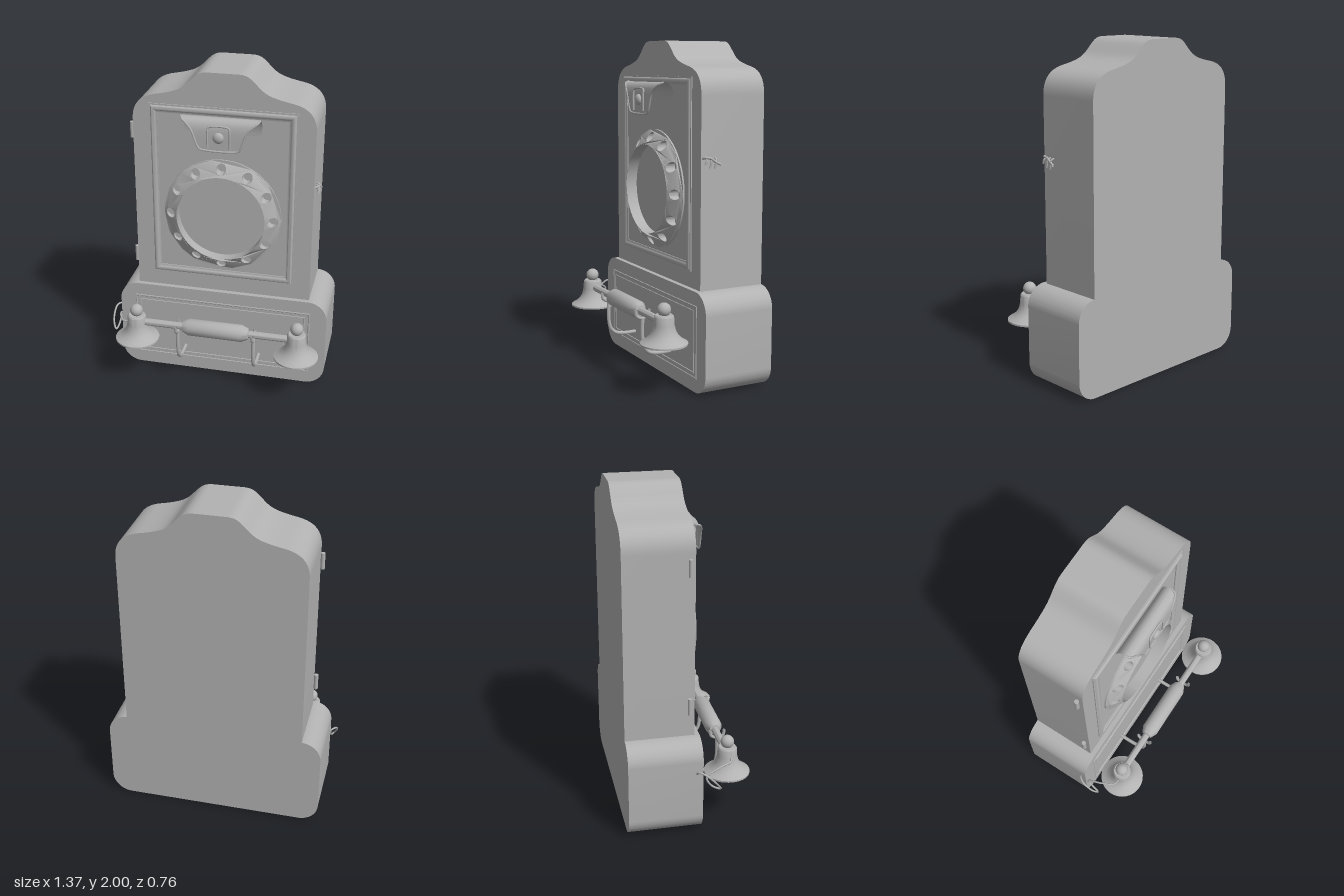
import * as THREE from 'three';
import { toCreasedNormals } from 'three/addons/utils/BufferGeometryUtils.js';

const grey = new THREE.MeshStandardMaterial({ color: 0xb2b2b2, side: THREE.DoubleSide });
grey.name = 'grey';
const CX = 0.015; // centre line of the cabinet
const V = (x, y, z) => new THREE.Vector3(x, y, z);

export function createModel() {
  const root = new THREE.Group();
  root.name = 'wallTelephone';

  const add = (name, geo, x = 0, y = 0, z = 0) => {
    const mesh = new THREE.Mesh(geo, grey);
    mesh.name = name;
    mesh.position.set(x, y, z);
    root.add(mesh);
    return mesh;
  };
  const extrude = (shape, depth) => toCreasedNormals(
    new THREE.ExtrudeGeometry(shape, { depth, bevelEnabled: false, curveSegments: 16 }), 0.6);
  const lathe = (pts, segs = 40) => toCreasedNormals(
    new THREE.LatheGeometry(pts.map(p => new THREE.Vector2(...p)), segs), 0.6);
  const tube = (name, pts, r, closed = false, segs = 48) => add(name, new THREE.TubeGeometry(
    new THREE.CatmullRomCurve3(pts, closed, 'centripetal'), segs, r, 8, closed));

  // Rectangular moulding with mitred corners; profile holds [inset, height]
  const moulding = (name, x0, x1, y0, y1, z, profile) => {
    const pos = [];
    const corner = (i, [d, h]) => [
      [x0 + d, y0 + d, h], [x1 - d, y0 + d, h], [x1 - d, y1 - d, h], [x0 + d, y1 - d, h]][i % 4];
    for (let i = 0; i < 4; i++) for (let k = 0; k < profile.length - 1; k++) {
      const a = corner(i, profile[k]), b = corner(i + 1, profile[k]);
      const c = corner(i + 1, profile[k + 1]), d = corner(i, profile[k + 1]);
      pos.push(...a, ...b, ...c, ...a, ...c, ...d);
    }
    const g = new THREE.BufferGeometry();
    g.setAttribute('position', new THREE.Float32BufferAttribute(pos, 3));
    g.computeVertexNormals();
    add(name, toCreasedNormals(g, 0.6), 0, 0, z);
  };

  // Upper cabinet with a crested top
  const body = new THREE.Shape();
  body.moveTo(-0.545, 0.59);
  body.lineTo(0.545, 0.59);
  body.lineTo(0.545, 1.69);
  body.bezierCurveTo(0.545, 1.78, 0.50, 1.83, 0.41, 1.85);
  body.bezierCurveTo(0.25, 1.88, 0.24, 1.90, 0.19, 1.95);
  body.bezierCurveTo(0.16, 1.98, 0.14, 2.0, 0.09, 2.0);
  body.lineTo(-0.09, 2.0);
  body.bezierCurveTo(-0.14, 2.0, -0.16, 1.98, -0.19, 1.95);
  body.bezierCurveTo(-0.24, 1.90, -0.25, 1.88, -0.41, 1.85);
  body.bezierCurveTo(-0.50, 1.83, -0.545, 1.78, -0.545, 1.69);
  body.closePath();
  add('cabinet', extrude(body, 0.41), CX, 0, -0.38);

  // Lower box with rounded corners
  const w = 0.663, h = 0.59, r = 0.12;
  const box = new THREE.Shape();
  box.moveTo(-w + r, 0);
  box.absarc(w - r, r, r, -Math.PI / 2, 0);
  box.absarc(w - r, h - r, r, 0, Math.PI / 2);
  box.absarc(-w + r, h - r, r, Math.PI / 2, Math.PI);
  box.absarc(-w + r, r, r, Math.PI, Math.PI * 1.5);
  add('baseBox', extrude(box, 0.44), CX, 0, -0.38);

  // Mouldings on both fronts
  moulding('doorMoulding', -0.43, 0.456, 0.685, 1.795, 0.03, [[0, 0], [0, 0.006], [0.01, 0.006],
    [0.013, 0.011], [0.02, 0.015], [0.028, 0.016], [0.036, 0.014], [0.042, 0.008], [0.052, 0.006], [0.052, 0]]);
  moulding('baseMoulding', -0.55, 0.575, 0.08, 0.51, 0.06,
    [[0, 0], [0.002, 0.004], [0.008, 0.004], [0.011, 0.001], [0.029, 0.001], [0.031, 0.004], [0.036, 0.004], [0.038, 0]]);

  // Dial: sloping ring with twelve finger holes
  const ring = new THREE.Shape().absarc(0, 0, 0.36, 0, Math.PI * 2);
  ring.holes.push(new THREE.Path().absarc(0, 0, 0.27, 0, Math.PI * 2));
  for (let i = 0; i < 12; i++) {
    const a = i * Math.PI / 6;
    ring.holes.push(new THREE.Path().absarc(0.313 * Math.cos(a), 0.313 * Math.sin(a), 0.03, 0, Math.PI * 2));
  }
  const dial = new THREE.ExtrudeGeometry(ring, { depth: 1, bevelEnabled: false, curveSegments: 36 });
  const dp = dial.attributes.position;
  for (let i = 0; i < dp.count; i++) {
    if (dp.getZ(i) < 0.5) continue;
    const t = (0.36 - Math.hypot(dp.getX(i), dp.getY(i))) / 0.09;
    dp.setZ(i, 0.01 + 0.06 * t);
  }
  dial.computeVertexNormals();
  add('dialRing', toCreasedNormals(dial, 0.5), 0.013, 1.117, 0.03);

  // Curled sheet above the dial: rows of [z, y, half width]
  const rows = [[0.033, 1.64, 0.2], [0.034, 1.655, 0.23], [0.036, 1.70, 0.232], [0.05, 1.735, 0.232],
    [0.075, 1.757, 0.232], [0.10, 1.76, 0.232], [0.125, 1.75, 0.222], [0.14, 1.725, 0.19],
    [0.145, 1.69, 0.162], [0.146, 1.65, 0.146], [0.146, 1.61, 0.132], [0.146, 1.588, 0.12], [0.146, 1.578, 0.105]];
  const sheet = new THREE.PlaneGeometry(1, 1, 1, rows.length - 1);
  rows.forEach(([z, y, hw], j) => {
    sheet.attributes.position.setXYZ(2 * j, -hw, y, z);
    sheet.attributes.position.setXYZ(2 * j + 1, hw, y, z);
  });
  sheet.computeVertexNormals();
  add('curledSheet', sheet, CX);
  const side = s => rows.slice(5).map(([z, y, hw]) => V(CX + s * hw, y, z));
  tube('sheetRim', [...side(-1), ...side(1).reverse()], 0.006, false, 90);
  tube('sheetBracket', [V(-0.05, 1.59, 0.15), V(-0.05, 1.69, 0.15), V(-0.045, 1.715, 0.146),
    V(0.075, 1.715, 0.146), V(0.08, 1.69, 0.15), V(0.08, 1.59, 0.15)], 0.006);
  add('sheetKnob', new THREE.SphereGeometry(0.033, 24, 16), 0.013, 1.655, 0.148).scale.z = 0.6;

  // Door hinges and latch
  for (const y of [0.78, 1.61]) {
    add('hinge', new THREE.CylinderGeometry(0.013, 0.013, 0.1, 16), -0.545, y, 0);
  }
  tube('latchArm', [V(0.56, 1.345, 0.02), V(0.578, 1.35, 0.01), V(0.582, 1.345, -0.02),
    V(0.585, 1.325, -0.05), V(0.59, 1.31, -0.08)], 0.007);
  for (const [z, y] of [[0.015, 1.31], [-0.015, 1.29], [-0.045, 1.285]]) {
    tube('latchProng', [V(0.565, 1.345, z - 0.015), V(0.582, 1.335, z - 0.01), V(0.583, y, z)], 0.006, false, 12);
  }

  // Handset: thin bar with a thick tapered grip
  const Y = 0.425, Z = 0.24;
  const grip = [[0, -0.505], [0.022, -0.505], [0.022, -0.21], [0.034, -0.207], [0.053, -0.165],
    [0.053, 0.165], [0.034, 0.207], [0.022, 0.21], [0.022, 0.505], [0, 0.505]];
  add('handsetBar', lathe(grip, 24), CX, Y, Z).rotation.z = Math.PI / 2;

  // Flared, hollow bells with ball tops
  const bell = [[0, 0.36], [0.04, 0.36], [0.055, 0.34], [0.08, 0.325], [0.13, 0.302], [0.137, 0.302], [0.137, 0.312],
    [0.11, 0.328], [0.085, 0.35], [0.068, 0.38], [0.06, 0.415], [0.057, 0.463], [0.05, 0.472], [0, 0.472]];
  for (const x of [-0.49, 0.52]) {
    add('bell', lathe(bell), x, 0, Z);
    add('bellBall', new THREE.SphereGeometry(0.04, 24, 16), x, 0.502, Z);
  }

  // Cradle hooks holding the handset
  for (const x of [-0.225, 0.255]) {
    tube('hookArm', [V(x, 0.165, 0.05), V(x, 0.165, 0.14), V(x, 0.178, 0.2), V(x, 0.21, 0.232),
      V(x, 0.27, 0.245), V(x, 0.39, 0.245)], 0.012);
    tube('hookCradle', [V(x, 0.44, 0.2), V(x, 0.405, 0.207), V(x, 0.388, 0.245),
      V(x, 0.405, 0.283), V(x, 0.44, 0.29)], 0.01);
  }

  // Looped cord from the bell to the box
  tube('cord', [V(-0.53, 0.42, 0.25), V(-0.58, 0.415, 0.24), V(-0.62, 0.41, 0.17), V(-0.645, 0.365, 0.08),
    V(-0.65, 0.31, 0.11), V(-0.66, 0.29, 0.16), V(-0.682, 0.34, 0.13), V(-0.68, 0.405, 0.06),
    V(-0.66, 0.41, 0.03), V(-0.64, 0.39, 0.02)], 0.006, false, 90);

  return root;
}
